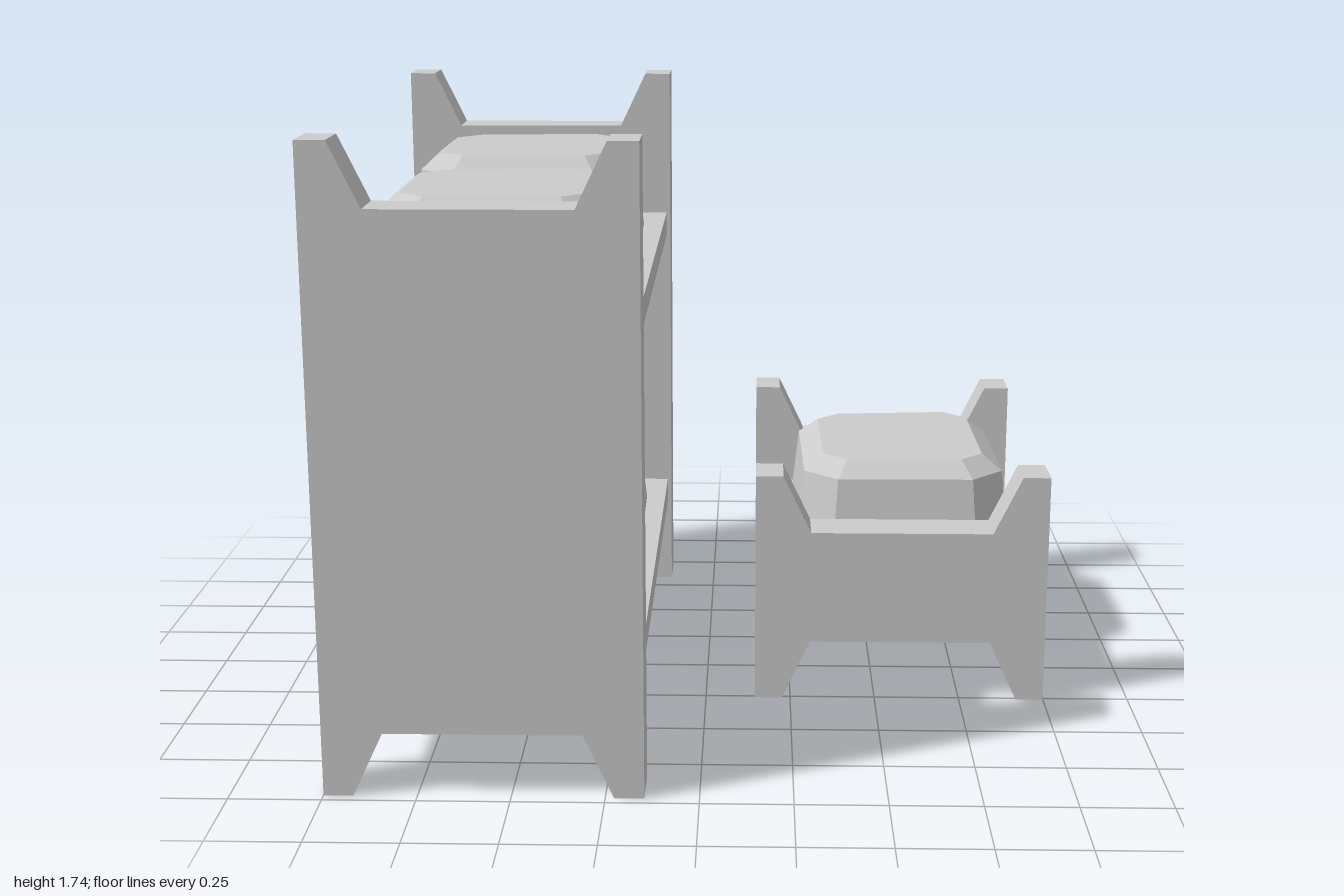
import * as THREE from 'three';

const material = new THREE.MeshStandardMaterial({ color: 0xcccccc, flatShading: true, side: THREE.DoubleSide });

function meshFrom(positions, name) {
  const geometry = new THREE.BufferGeometry();
  geometry.setAttribute('position', new THREE.Float32BufferAttribute(positions, 3));
  geometry.computeVertexNormals();
  const mesh = new THREE.Mesh(geometry, material);
  mesh.name = name;
  return mesh;
}

// Quads between two counter-clockwise rings, leaving out the sides that skip picks
function band(out, a, b, skip) {
  a.forEach((p, i) => {
    const j = (i + 1) % a.length;
    if (skip(p, a[j], i)) return;
    out.push(...p, ...a[j], ...b[j], ...p, ...b[j], ...b[i]);
  });
}

// Outline pulled along z: front face, sides and top, open at the back and below
function shell(outline, zBack, zFront, name) {
  const out = [];
  const points = outline.map(([x, y]) => new THREE.Vector2(x, y));
  for (const tri of THREE.ShapeUtils.triangulateShape(points, [])) {
    for (const i of tri) out.push(points[i].x, points[i].y, zFront);
  }
  const ring = (z) => outline.map(([x, y]) => [x, y, z]);
  band(out, ring(zBack), ring(zFront), (p, q) => q[0] - p[0] > 1e-4);
  return meshFrom(out, name);
}

// End board with two feet below and two horns above
function endBoard(x, zBack, height, name) {
  const half = [[0.265, 0.177], [0.347, 0], [0.427, 0], [0.427, height], [0.347, height], [0.265, height - 0.171]];
  const mirrored = half.map(([px, py]) => [-px, py]).reverse();
  const outline = [...half, ...mirrored].map(([px, py]) => [x + px, py]);
  return shell(outline, zBack, zBack + 0.14, name);
}

function shelf(x, top, zBack, zFront) {
  const w = 0.415, low = top - 0.075;
  return shell([[x - w, low], [x + w, low], [x + w, top], [x - w, top]], zBack, zFront, 'bedBase');
}

// Octagon seen from above, counter-clockwise; side 4 is the rear edge
function octagon(w, d, c, y) {
  return [[-w + c, d], [w - c, d], [w, d - c], [w, -d + c], [w - c, -d], [-w + c, -d], [-w, -d + c], [-w, d - c]]
    .map(([x, z]) => [x, y, z]);
}

// Tapered block with bevelled top, open at the rear wall
function cushion(x, y, z, width, depth) {
  const w = width / 2, d = depth / 2;
  const base = octagon(w, d, 0.11, 0);
  const shoulder = octagon(w - 0.025, d - 0.028, 0.1, 0.235);
  const top = octagon(w - 0.085, d - 0.085, 0.07, 0.283);
  top[3][2] -= 0.02; // slightly skewed rear bevel
  top[4][2] -= 0.025;
  const out = [];
  band(out, base, shoulder, (p, q, i) => i === 4);
  band(out, shoulder, top, () => false);
  for (let i = 1; i < 7; i++) out.push(...top[0], ...top[i], ...top[i + 1]);
  const mesh = meshFrom(out, 'cushion');
  mesh.position.set(x, y, z);
  mesh.rotation.y = 0.015;
  return mesh;
}

export function createModel() {
  const model = new THREE.Group();
  model.name = 'beds';

  // Tall two-level bed
  const bunk = new THREE.Group();
  bunk.name = 'bunkBed';
  const bx = -0.573;
  bunk.add(endBoard(bx, 0.832, 1.743, 'frontBoard'), endBoard(bx, -0.972, 1.743, 'backBoard'));
  for (const y of [0.357, 1.283]) bunk.add(shelf(bx, y, -0.9, 0.9));
  bunk.add(
    cushion(-0.55, 1.283, 0.458, 0.67, 0.68),
    cushion(-0.55, 1.29, -0.313, 0.67, 0.68),
    cushion(-0.55, 0.36, 0.433, 0.67, 0.76),
    cushion(-0.55, 0.357, -0.36, 0.67, 0.73)
  );

  // Low single bed
  const single = new THREE.Group();
  single.name = 'singleBed';
  const sx = 0.572;
  single.add(
    endBoard(sx, 0.12, 0.684, 'frontBoard'),
    endBoard(sx, -0.972, 0.684, 'backBoard'),
    shelf(sx, 0.357, -0.9, 0.19),
    cushion(0.595, 0.357, -0.37, 0.66, 0.73)
  );

  model.add(bunk, single);
  return model;
}
